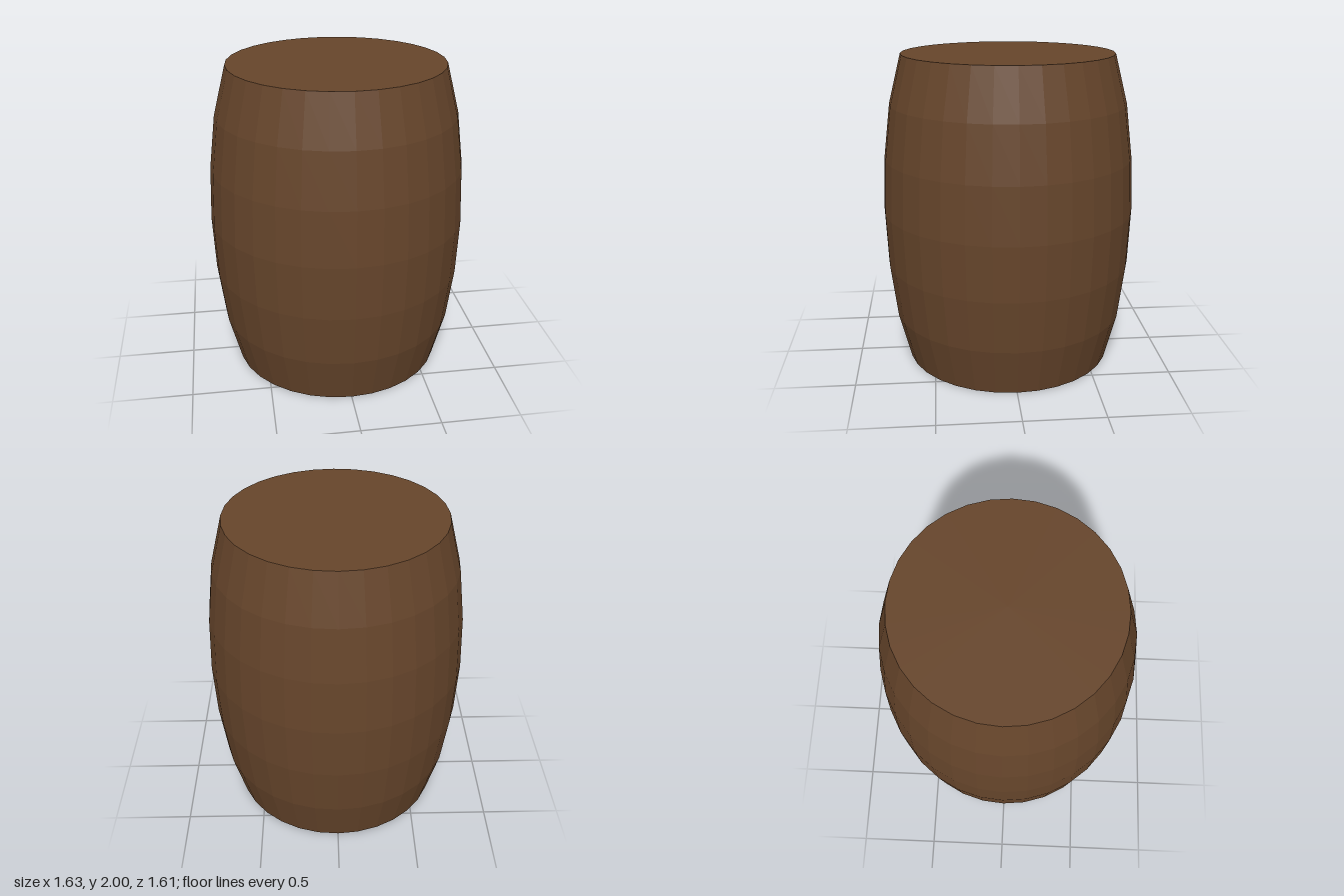
import * as THREE from 'three';

export function createModel() {
  const group = new THREE.Group();
  group.name = 'barrel';
  const material = new THREE.MeshStandardMaterial({ color: 0x66452b, flatShading: true });

  // Bulging stave wall with closed heads, as radius and height from bottom to top
  const half = [[0.677, 0], [0.757, 0.31], [0.8, 0.65]];
  const profile = [
    [0, 0], ...half, [0.815, 1],
    ...half.map(([r, y]) => [r, 2 - y]).reverse(), [0, 2],
  ].map(([r, y]) => new THREE.Vector2(r, y));

  const body = new THREE.Mesh(new THREE.LatheGeometry(profile, 32), material);
  body.name = 'barrelBody';
  body.scale.z = 0.988; // slightly narrower front to back
  group.add(body);
  return group;
}
